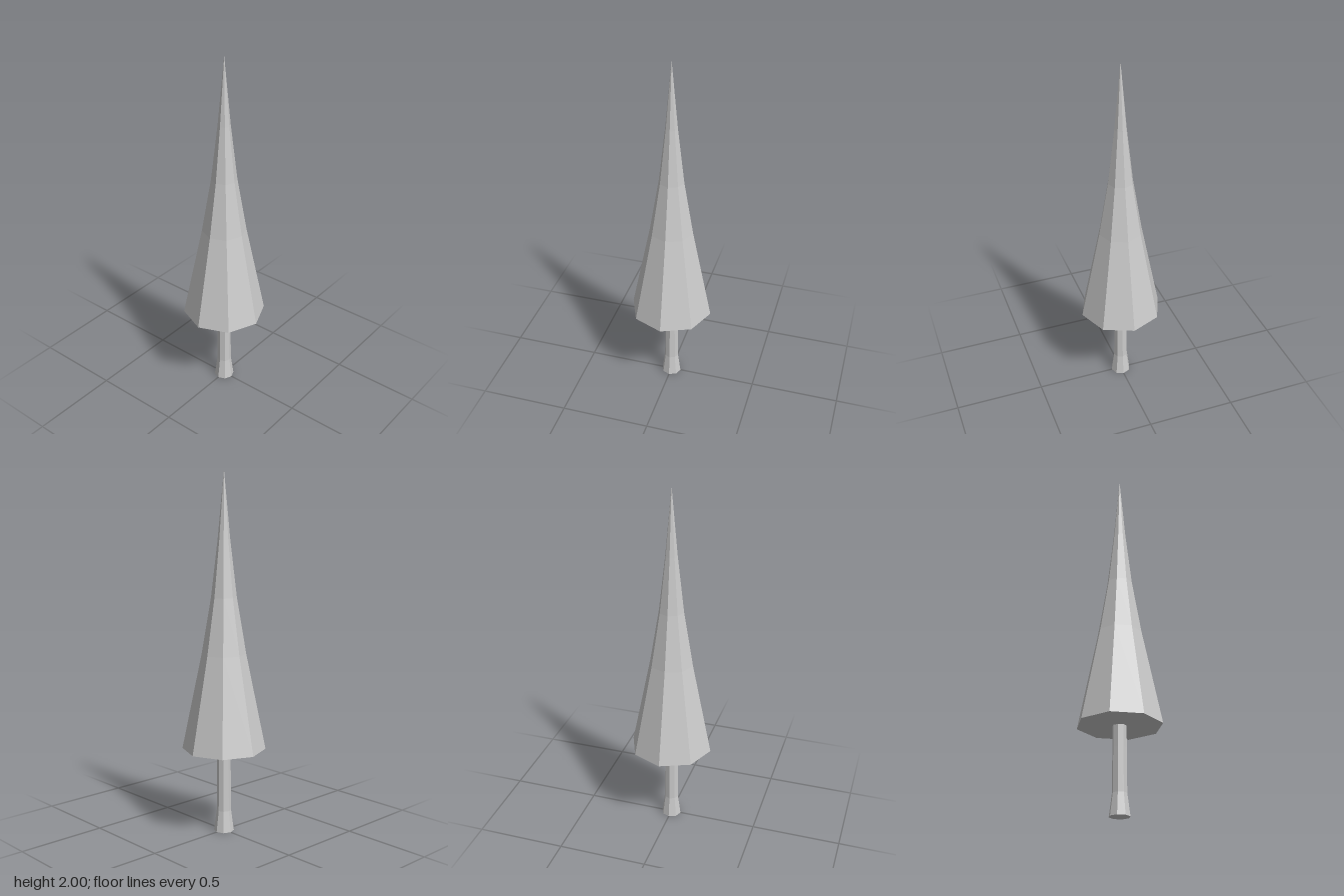
import * as THREE from 'three';

const SIDES = 8;

// Low-poly octagonal solid turned from a [radius, height] profile, bottom to top
function turned(name, profile) {
  const points = profile.map(([r, y]) => new THREE.Vector2(r, y));
  const material = new THREE.MeshStandardMaterial({ color: 0xcccccc, flatShading: true });
  const mesh = new THREE.Mesh(new THREE.LatheGeometry(points, SIDES), material);
  mesh.name = name;
  return mesh;
}

export function createModel() {
  const tree = new THREE.Group();
  tree.name = 'coniferTree';

  // Slim trunk with a flared foot, closed underneath
  tree.add(turned('trunk', [[0, 0], [0.056, 0], [0.04, 0.12], [0.038, 0.36], [0.038, 0.477]]));

  // Tall, slightly concave crown with a flat underside
  tree.add(turned('crown', [[0, 0.477], [0.231, 0.477], [0.122, 1.01], [0.07, 1.32], [0.034, 1.63], [0, 2]]));

  return tree;
}
